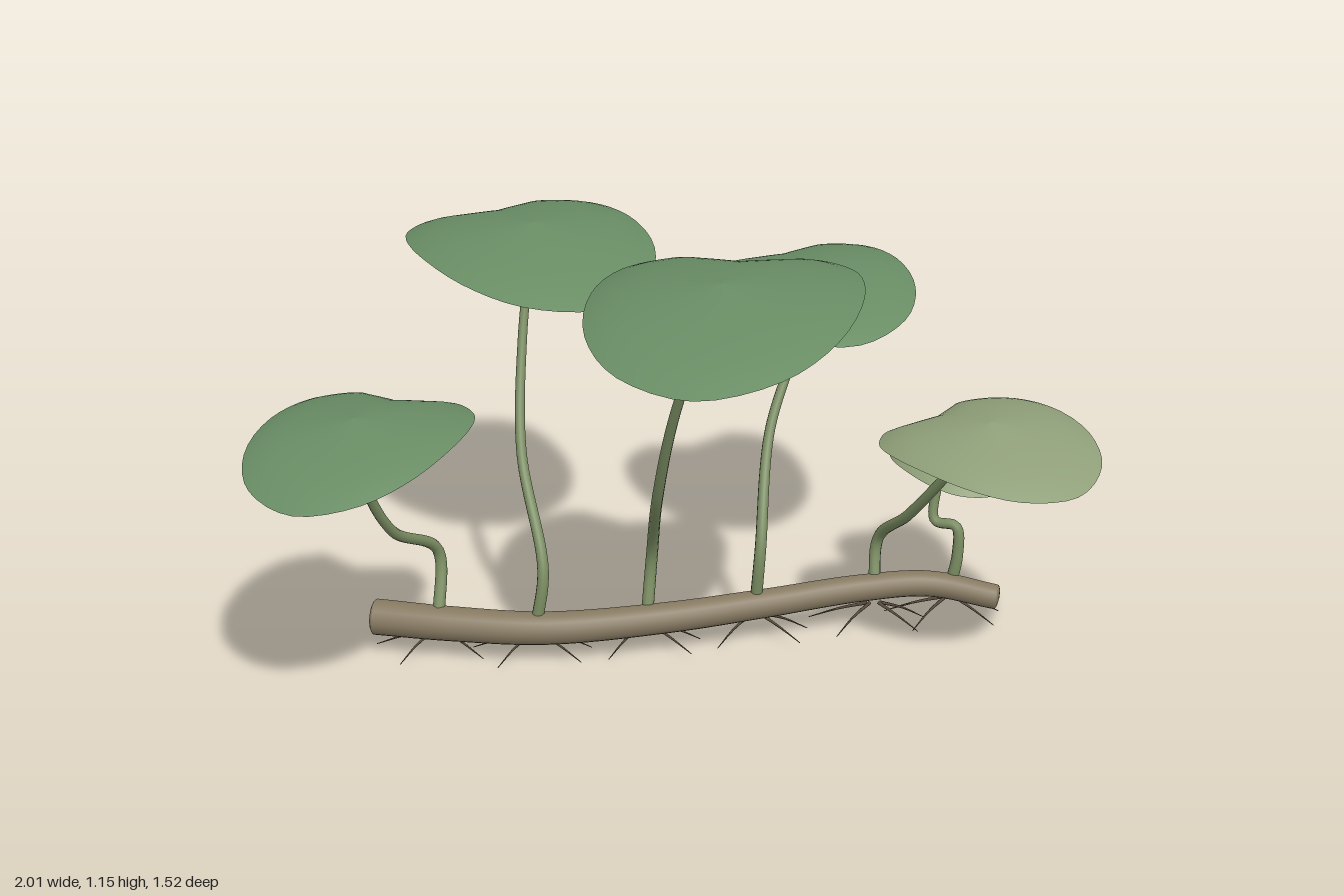
import * as THREE from 'three';

const material = (color, side = THREE.FrontSide) => new THREE.MeshStandardMaterial({ color, side });
const leafDark = material(0x688c64, THREE.DoubleSide);
const leafLight = material(0x8f9f79, THREE.DoubleSide);
const stemMat = material(0x7a8d62);
const rhizomeMat = material(0x877a62);
const rootMat = material(0x5a4e3e);

const curveOf = pts => new THREE.CatmullRomCurve3(pts.map(p => new THREE.Vector3(...p)));

function addMesh(parent, name, geometry, mat) {
  const mesh = new THREE.Mesh(geometry, mat);
  mesh.name = name;
  parent.add(mesh);
  return mesh;
}

// Tube whose radius runs from r0 to r1
function taperedTube(curve, r0, r1, segments, sides) {
  const geo = new THREE.TubeGeometry(curve, segments, 1, sides);
  const pos = geo.attributes.position;
  const v = new THREE.Vector3();
  for (let i = 0; i <= segments; i++) {
    const t = i / segments;
    const centre = curve.getPointAt(t);
    for (let j = 0; j <= sides; j++) {
      const k = i * (sides + 1) + j;
      v.fromBufferAttribute(pos, k).sub(centre).multiplyScalar(THREE.MathUtils.lerp(r0, r1, t)).add(centre);
      pos.setXYZ(k, v.x, v.y, v.z);
    }
  }
  return geo;
}

// Half outline of the heart-shaped blade, notch to tip, as [sideways, forward]
const HALF = [[0, -0.69], [0.27, -0.81], [0.41, -0.87], [0.56, -0.79], [0.71, -0.6],
  [0.8, -0.15], [0.72, 0.42], [0.46, 0.82], [0, 1.01]];
const OUTLINE = curveOf([...HALF, ...HALF.slice(0, -1).reverse().map(([x, z]) => [-x, z])]
  .map(([x, z]) => [x, 0, z]));

// Shallow drooping cone with its peak over the leaf stalk and a rim that turns down
function leafGeometry(size, droop) {
  const rings = 12, segs = 64, pos = [], index = [];
  const edge = OUTLINE.getPoints(segs);
  for (let i = 0; i <= rings; i++) {
    const t = i / rings;
    for (const p of edge) {
      const x = p.x * t, z = p.z * t;
      const drop = 0.12 * Math.hypot(x, z) + 0.08 * z * z + 0.05 * z + 0.04 * t ** 6;
      pos.push(x * size, -drop * droop * size, z * size);
    }
  }
  const row = segs + 1;
  for (let i = 0; i < rings; i++) {
    for (let j = 0; j < segs; j++) {
      const a = i * row + j, b = a + row;
      if (i > 0) index.push(a, a + 1, b);
      index.push(a + 1, b + 1, b);
    }
  }
  const geo = new THREE.BufferGeometry();
  geo.setAttribute('position', new THREE.Float32BufferAttribute(pos, 3));
  geo.setIndex(index);
  geo.computeVertexNormals();
  return geo;
}

// Root tips around a node: offset x, offset z, height above the ground
const ROOTS = [[-0.16, -0.06, 0.012], [-0.1, 0.04, 0.004], [0.14, -0.05, 0.006], [0.11, 0.045, 0.015]];

// One leaf with its stalk and roots; the stalk path runs from the node to the blade's peak
function addLeaf(group, mat, size, droop, roll, heading, path) {
  const part = new THREE.Group();
  part.name = 'leafWithStalk';
  group.add(part);

  // Stalk
  addMesh(part, 'stalk', taperedTube(curveOf(path), 0.0155, 0.011, 48, 10), stemMat);

  // Blade turned to its heading, then rolled sideways
  const blade = addMesh(part, 'leafBlade', leafGeometry(size, droop), mat);
  const [x, y, z] = path[path.length - 1];
  blade.position.set(x, y + 0.008, z);
  blade.rotation.set(0, heading, roll, 'ZYX');

  // Fine roots spreading along the ground below the node
  const [bx, , bz] = path[0];
  for (const [dx, dz, tipY] of ROOTS) {
    const root = curveOf([[bx + dx * 0.1, 0.08, bz],
      [bx + dx * 0.55, 0.05, bz + dz * 0.5], [bx + dx, tipY, bz + dz]]);
    addMesh(part, 'root', taperedTube(root, 0.005, 0.001, 6, 5), rootMat);
  }
}

export function createModel() {
  const group = new THREE.Group();
  group.name = 'plant';

  // Creeping rhizome with closed ends
  const spine = curveOf([[-0.738, 0.1, -0.09], [-0.55, 0.097, -0.045], [-0.31, 0.093, -0.012],
    [0, 0.1, -0.035], [0.25, 0.108, -0.08], [0.5, 0.122, -0.12], [0.68, 0.121, -0.135],
    [0.845, 0.1, -0.09]]);
  const rhizome = new THREE.Group();
  rhizome.name = 'rhizome';
  group.add(rhizome);
  addMesh(rhizome, 'rhizomeBody', taperedTube(spine, 0.046, 0.032, 60, 16), rhizomeMat);
  for (const [t, r, sign] of [[0, 0.046, -1], [1, 0.032, 1]]) {
    const cap = addMesh(rhizome, 'rhizomeEnd', new THREE.SphereGeometry(r, 16, 10), rhizomeMat);
    cap.position.copy(spine.getPointAt(t));
    cap.lookAt(spine.getTangentAt(t).multiplyScalar(sign).add(cap.position));
    cap.scale.z = 0.3;
  }

  // Four large leaves
  addLeaf(group, leafDark, 0.31, 1.15, 0.05, -0.44, [[-0.58, 0.11, -0.05], [-0.575, 0.27, -0.11],
    [-0.68, 0.39, 0.02], [-0.74, 0.57, 0.12], [-0.75, 0.785, 0.245]]);
  addLeaf(group, leafDark, 0.365, 1.05, 0.02, 0.4, [[-0.335, 0.1, -0.015], [-0.315, 0.25, -0.03],
    [-0.36, 0.5, -0.19], [-0.35, 0.75, -0.32], [-0.315, 1.024, -0.41]]);
  addLeaf(group, leafDark, 0.392, 1, 0.05, -0.25, [[-0.055, 0.1, -0.04], [-0.04, 0.26, -0.07],
    [-0.035, 0.5, 0.09], [0, 0.78, 0.22], [0.09, 1.142, 0.37]]);
  addLeaf(group, leafDark, 0.32, 1.1, 0.08, 0.25, [[0.225, 0.11, -0.08], [0.235, 0.26, -0.08],
    [0.27, 0.52, -0.23], [0.345, 0.72, -0.33], [0.385, 0.895, -0.4]]);

  // Two young leaves
  addLeaf(group, leafLight, 0.285, 1.25, 0.09, 0.57, [[0.535, 0.11, -0.12], [0.545, 0.24, -0.16],
    [0.6, 0.37, -0.03], [0.68, 0.55, 0.1], [0.755, 0.702, 0.18]]);
  addLeaf(group, leafLight, 0.185, 1.7, 0.15, 0.36, [[0.735, 0.11, -0.14], [0.75, 0.2, -0.14],
    [0.745, 0.275, -0.15], [0.695, 0.28, -0.18], [0.7, 0.36, -0.2], [0.74, 0.487, -0.21]]);

  return group;
}
